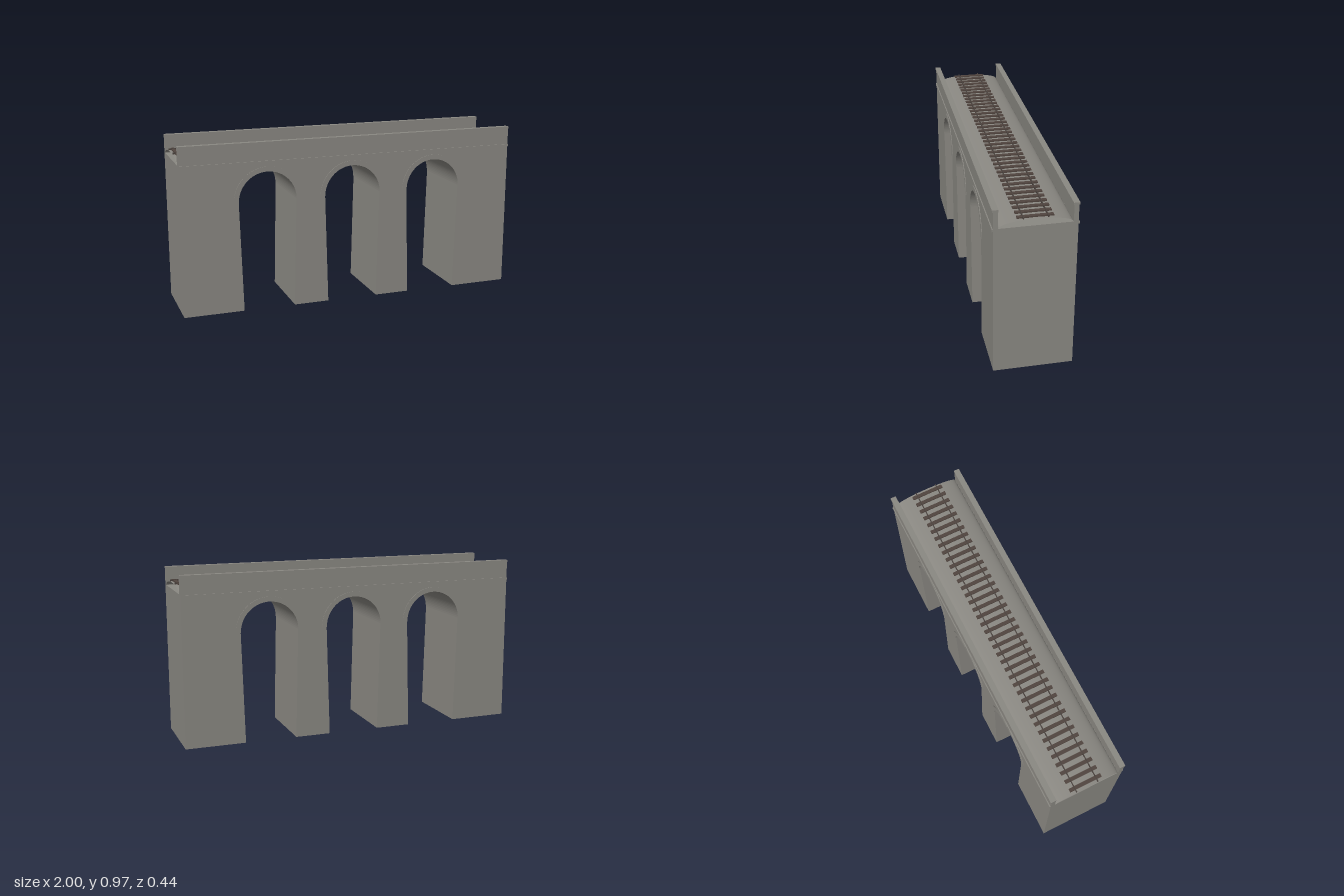
import * as THREE from 'three';

const LENGTH = 2, HALF_DEPTH = 0.216, DECK = 0.865;
const ARCH_X = [-0.505, 0, 0.505], ARCH_R = 0.167, SPRING = 0.635, FOOT = 0.15;

function material(name, color, side = THREE.FrontSide) {
  const m = new THREE.MeshStandardMaterial({ color, side });
  m.name = name;
  return m;
}

export function createModel() {
  const stone = material('stone', 0x8a8882);
  const gravel = material('gravel', 0x8a8882, THREE.DoubleSide);
  const wood = material('sleeper wood', 0x51453f);
  const steel = material('rail steel', 0x4a423e);

  const model = new THREE.Group();
  model.name = 'viaduct';
  const add = (name, geometry, mat, x = 0, y = 0, z = 0) => {
    const mesh = new THREE.Mesh(geometry, mat);
    mesh.name = name;
    mesh.position.set(x, y, z);
    model.add(mesh);
    return mesh;
  };
  // Box given by its y and z limits, running along x
  const beam = (name, mat, y0, y1, z0, z1, length = LENGTH, x = 0) =>
    add(name, new THREE.BoxGeometry(length, y1 - y0, Math.abs(z1 - z0)), mat,
      x, (y0 + y1) / 2, (z0 + z1) / 2);

  // Body with three round arches on slightly battered piers
  const outline = new THREE.Shape();
  outline.moveTo(-1, DECK);
  outline.lineTo(-1, 0);
  for (const x of ARCH_X) {
    outline.lineTo(x - FOOT, 0);
    outline.lineTo(x - ARCH_R, SPRING);
    outline.absarc(x, SPRING, ARCH_R, Math.PI, 0, true);
    outline.lineTo(x + FOOT, 0);
  }
  outline.lineTo(1, 0);
  outline.lineTo(1, DECK);
  outline.closePath();
  const body = new THREE.ExtrudeGeometry(outline, {
    depth: HALF_DEPTH * 2, bevelEnabled: false, curveSegments: 24,
  });
  add('archedBody', body, stone, 0, 0, -HALF_DEPTH);

  // Raised ring around each arch
  const ring = new THREE.Shape();
  ring.absarc(0, 0, 0.195, 0, Math.PI, false);
  ring.absarc(0, 0, ARCH_R, Math.PI, 0, true);
  ring.closePath();
  const ringGeometry = new THREE.ExtrudeGeometry(ring, {
    depth: 0.006, bevelEnabled: false, curveSegments: 24,
  });

  for (const s of [1, -1]) {
    for (const x of ARCH_X) {
      add('archRing', ringGeometry, stone, x, SPRING, s * (HALF_DEPTH + 0.0005) - 0.003);
    }
    // Parapet, its coping and the string course below
    beam('parapet', stone, DECK, 0.96, s * 0.191, s * HALF_DEPTH);
    beam('coping', stone, 0.958, 0.97, s * 0.188, s * 0.2205);
    beam('stringCourse', stone, 0.85, 0.863, s * 0.21, s * 0.2215);
    // Rail
    beam('rail', steel, 0.903, 0.9125, s * 0.061, s * 0.066);
  }

  // Domed ballast sheet, open at the ends
  const ballast = new THREE.CylinderGeometry(1, 1, LENGTH, 32, 1, true, 0, Math.PI);
  ballast.rotateZ(Math.PI / 2);
  ballast.scale(1, 0.038, 0.19);
  add('ballast', ballast, gravel, 0, DECK, 0);

  // Sleepers
  for (let i = 0; i < 40; i++) {
    beam('sleeper', wood, 0.902, 0.91, -0.094, 0.094, 0.02, -0.975 + i * 0.05);
  }
  return model;
}
